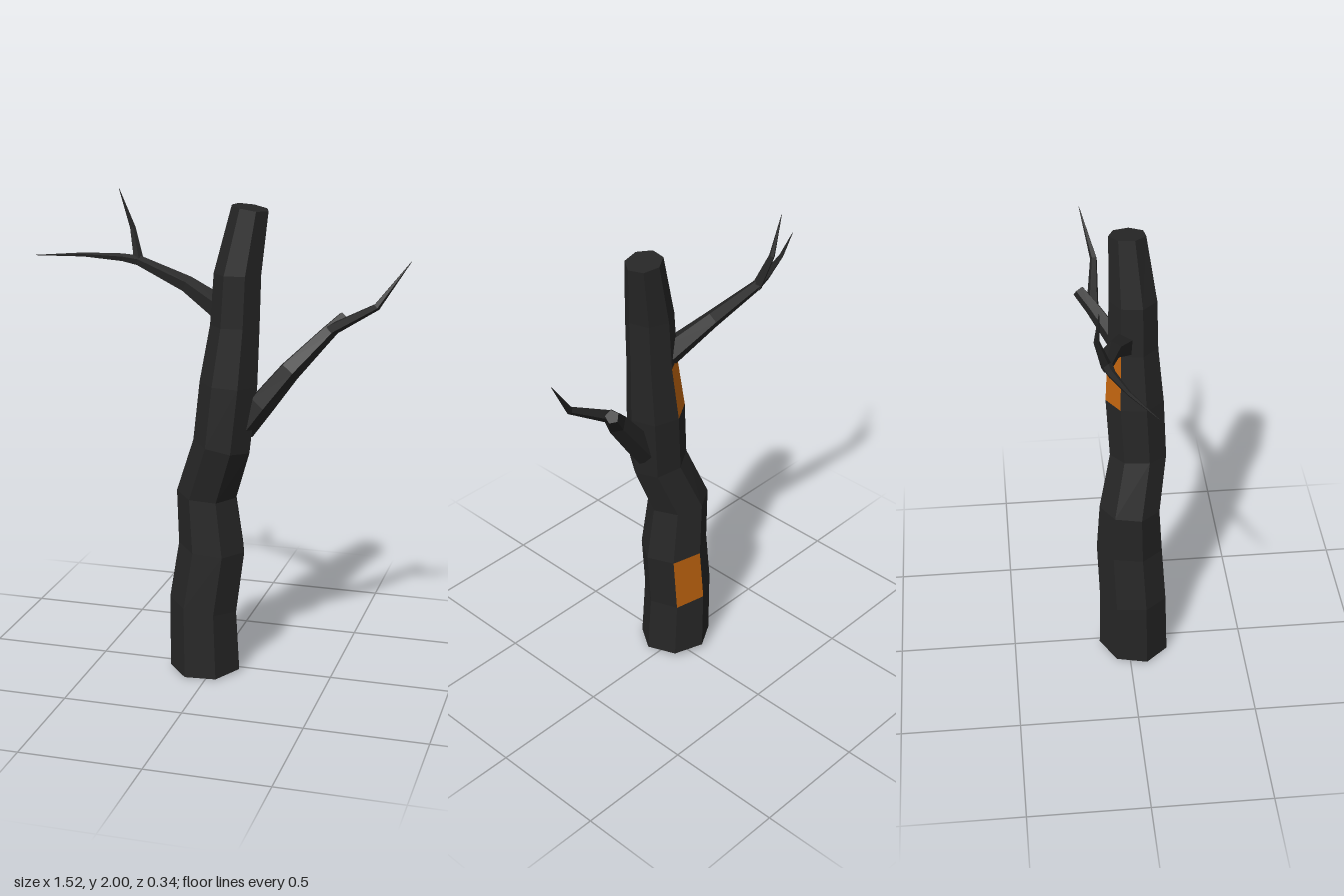
import * as THREE from 'three';

const bark = new THREE.MeshStandardMaterial({ color: 0x262626 });
bark.name = 'charred bark';
const ember = new THREE.MeshStandardMaterial({ color: 0xc4660f });
ember.name = 'ember orange';

// Skins a list of rings (arrays of Vector3) with flat faces and closed ends.
// keep(segment, side) selects the wall faces to build.
function skin(rings, keep = () => true, caps = true) {
  const pos = [];
  const tri = (a, b, c) => [a, b, c].forEach((p) => pos.push(p.x, p.y, p.z));
  const n = rings[0].length;
  for (let i = 0; i < rings.length - 1; i++) {
    for (let k = 0; k < n; k++) {
      if (!keep(i, k)) continue;
      const m = (k + 1) % n;
      const a = rings[i][k], b = rings[i][m], c = rings[i + 1][m], d = rings[i + 1][k];
      tri(a, b, c);
      tri(a, c, d);
    }
  }
  if (caps) {
    const first = rings[0], last = rings[rings.length - 1];
    for (let k = 1; k < n - 1; k++) {
      tri(first[0], first[k + 1], first[k]);
      tri(last[0], last[k], last[k + 1]);
    }
  }
  const geo = new THREE.BufferGeometry();
  geo.setAttribute('position', new THREE.Float32BufferAttribute(pos, 3));
  geo.computeVertexNormals();
  return geo;
}

// Trunk rings: height, centre x, centre z, radius, tilt along x, tilt along z
const TRUNK = [
  [0.015, -0.035, 0.025, 0.152, 0.00, -0.09],
  [0.295, -0.044, 0.022, 0.145, -0.17, 0.00],
  [0.550, -0.010, 0.010, 0.142, -0.10, -0.06],
  [0.780, -0.033, 0.008, 0.128, -0.08, -0.08],
  [1.000, 0.042, 0.050, 0.119, -0.20, 0.00],
  [1.260, 0.068, 0.038, 0.121, -0.06, 0.00],
  [1.500, 0.092, 0.033, 0.103, 0.00, 0.00],
  [1.710, 0.102, 0.033, 0.098, 0.00, 0.00],
  [1.968, 0.147, 0.015, 0.075, -0.16, 0.00],
];
const SIDES = 7;

function trunkRings() {
  return TRUNK.map(([y, cx, cz, r, tx, tz]) =>
    Array.from({ length: SIDES }, (_, k) => {
      const a = THREE.MathUtils.degToRad(111) - (k * Math.PI * 2) / SIDES;
      const dx = r * Math.cos(a), dz = r * Math.sin(a);
      return new THREE.Vector3(cx + dx, Math.max(0, y + dx * tx + dz * tz), cz + dz);
    }));
}

// Tapered limb along points [x, y, z, radius]
function limb(points, sides = 5) {
  const centres = points.map((p) => new THREE.Vector3(p[0], p[1], p[2]));
  const rings = centres.map((c, i) => {
    const t = centres[Math.min(i + 1, centres.length - 1)].clone()
      .sub(centres[Math.max(i - 1, 0)]).normalize();
    const u = new THREE.Vector3(0, 0, 1).addScaledVector(t, -t.z).normalize();
    const v = new THREE.Vector3().crossVectors(t, u);
    return Array.from({ length: sides }, (_, k) => {
      const a = (k * Math.PI * 2) / sides + 0.4;
      return c.clone()
        .addScaledVector(u, points[i][3] * Math.cos(a))
        .addScaledVector(v, points[i][3] * Math.sin(a));
    });
  });
  return skin(rings);
}

const LIMBS = {
  // long branch on the -x side with its upright twig
  rightBranch: [
    [0.05, 1.53, -0.01, 0.055], [-0.14, 1.63, -0.07, 0.036], [-0.36, 1.71, -0.11, 0.022],
    [-0.43, 1.722, -0.10, 0.017], [-0.58, 1.735, -0.05, 0.009], [-0.755, 1.74, 0.04, 0.001],
  ],
  rightTwig: [
    [-0.36, 1.70, -0.11, 0.022], [-0.40, 1.84, -0.15, 0.012], [-0.455, 1.998, -0.145, 0.001],
  ],
  // thick broken branch on the +x side with its thin end twig
  leftBranch: [
    [0.12, 1.07, 0.04, 0.055], [0.20, 1.18, 0.035, 0.055], [0.31, 1.32, 0.02, 0.046],
    [0.44, 1.46, -0.10, 0.032], [0.495, 1.515, -0.155, 0.027],
  ],
  leftTwig: [
    [0.45, 1.47, -0.10, 0.026], [0.64, 1.58, -0.08, 0.015], [0.766, 1.76, -0.13, 0.001],
  ],
};

export function createModel() {
  const tree = new THREE.Group();
  tree.name = 'deadTree';
  const add = (name, geo, mat) => {
    const mesh = new THREE.Mesh(geo, mat);
    mesh.name = name;
    tree.add(mesh);
  };

  // Trunk, with two faces on the back left open for the glowing patches
  const rings = trunkRings();
  const isLower = (i, k) => i === 1 && k === 3;
  const isUpper = (i, k) => i === 5 && k === 4;
  add('trunk', skin(rings, (i, k) => !isLower(i, k) && !isUpper(i, k)), bark);
  add('lowerEmberPatch', skin(rings, isLower, false), ember);
  add('upperEmberPatch', skin(rings, isUpper, false), ember);

  // Branches and twigs
  for (const [name, points] of Object.entries(LIMBS)) add(name, limb(points), bark);
  return tree;
}
